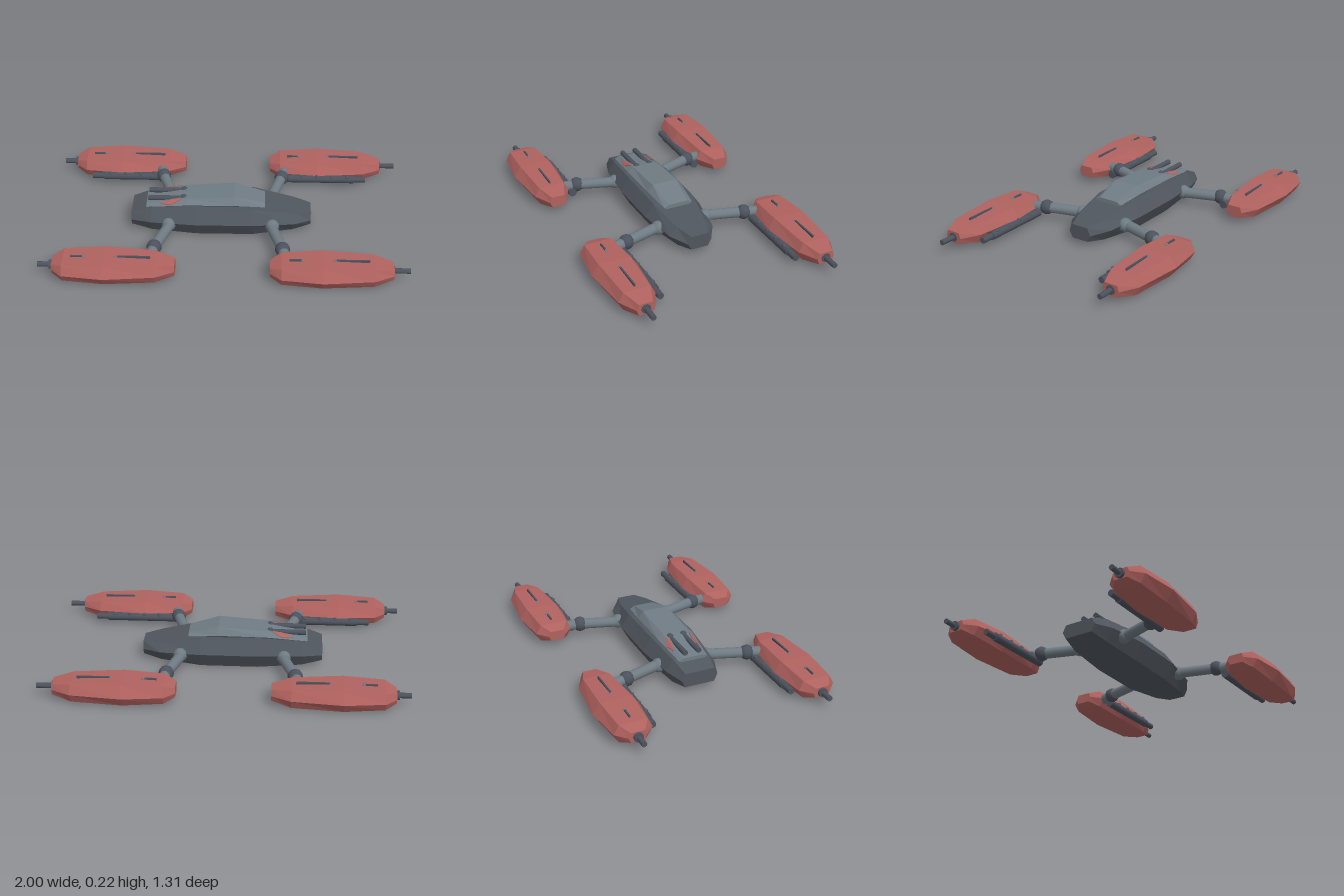
import * as THREE from 'three';

const mat = (name, color) => {
  const m = new THREE.MeshStandardMaterial({ color });
  m.name = name;
  return m;
};

// Six-sided hull lofted along x; station = [x, flatHalfWidth, fullHalfWidth, yBottom, yMid, yTop]
function loft(stations) {
  const rings = stations.map(([x, f, w, y0, y1, y2]) =>
    [[y2, f], [y1, w], [y0, f], [y0, -f], [y1, -w], [y2, -f]].map(([y, z]) => [x, y, z]));
  const pos = [];
  const tri = (a, b, c) => pos.push(...a, ...b, ...c);
  for (let s = 0; s < rings.length - 1; s++) {
    const p = rings[s], q = rings[s + 1];
    for (let i = 0; i < 6; i++) {
      const j = (i + 1) % 6;
      tri(p[i], p[j], q[j]);
      tri(p[i], q[j], q[i]);
    }
  }
  const first = rings[0], last = rings[rings.length - 1];
  for (let i = 1; i < 5; i++) {
    tri(first[0], first[i + 1], first[i]);
    tri(last[0], last[i], last[i + 1]);
  }
  const g = new THREE.BufferGeometry();
  g.setAttribute('position', new THREE.Float32BufferAttribute(pos, 3));
  g.computeVertexNormals();
  return g;
}

export function createModel() {
  const root = new THREE.Group();
  root.name = 'fourPodCraft';
  const red = mat('dull red', 0xb0625f);
  const dark = mat('dark slate', 0x50565e);
  const light = mat('light slate', 0x6f7b83);
  const metal = mat('gun metal', 0x4c525d);

  const add = (parent, name, geo, material, x = 0, y = 0, z = 0) => {
    const m = new THREE.Mesh(geo, material);
    m.name = name;
    m.position.set(x, y, z);
    parent.add(m);
    return m;
  };
  // Cylinder between two points
  const rod = (parent, name, a, b, r, material, sides = 10) => {
    const A = new THREE.Vector3(...a), B = new THREE.Vector3(...b);
    const d = B.clone().sub(A);
    const m = add(parent, name, new THREE.CylinderGeometry(r, r, d.length(), sides), material);
    m.position.copy(A).add(B).multiplyScalar(0.5);
    m.quaternion.setFromUnitVectors(new THREE.Vector3(0, 1, 0), d.normalize());
    return m;
  };
  const ball = (parent, name, r, material, x, y, z) =>
    add(parent, name, new THREE.SphereGeometry(r, 10, 8), material, x, y, z);

  // Main hull
  add(root, 'hull', loft([
    [-0.535, 0.085, 0.105, 0.04, 0.08, 0.12],
    [-0.42, 0.105, 0.145, 0.018, 0.09, 0.155],
    [-0.17, 0.122, 0.172, 0.005, 0.095, 0.172],
    [0.15, 0.12, 0.17, 0.005, 0.095, 0.168],
    [0.38, 0.085, 0.132, 0.02, 0.085, 0.13],
    [0.48, 0.05, 0.07, 0.035, 0.072, 0.115],
  ]), dark);

  // Raised cabin on the deck
  add(root, 'cabin', loft([
    [-0.45, 0.06, 0.085, 0.135, 0.155, 0.166],
    [-0.22, 0.072, 0.105, 0.155, 0.182, 0.206],
    [0.05, 0.075, 0.105, 0.155, 0.185, 0.225],
    [0.22, 0.057, 0.085, 0.145, 0.165, 0.18],
  ]), light);

  for (const k of [-1, 1]) {
    // Twin deck cannons
    rod(root, 'deckCannon', [-0.44, 0.189, k * 0.04], [-0.24, 0.189, k * 0.04], 0.015, metal);
    ball(root, 'deckCannonMount', 0.021, metal, -0.24, 0.192, k * 0.04);
    // Red slanted marking beside each cannon
    const s = new THREE.Shape([
      new THREE.Vector2(-0.37, 0.078), new THREE.Vector2(-0.3, 0.062),
      new THREE.Vector2(-0.25, 0.07), new THREE.Vector2(-0.31, 0.092),
    ]);
    const g = new THREE.ExtrudeGeometry(s, { depth: 0.006, bevelEnabled: false });
    g.rotateX(-Math.PI / 2);
    const mark = add(root, 'deckMarking', g, red);
    // Follow the slope of the cabin roof
    const p = g.attributes.position;
    for (let i = 0; i < p.count; i++) {
      const x = p.getX(i), w = -p.getZ(i);
      p.setY(i, p.getY(i) + 0.166 + (x + 0.45) * 0.174 - Math.max(0, w - 0.068) * 0.75);
    }
    if (k > 0) mark.rotation.x = 0;
    // Mirror across the hull by moving points and swapping the winding
    if (k > 0) {
      g.scale(1, 1, -1);
      for (let i = 0; i < p.count; i += 3) {
        const b = new THREE.Vector3().fromBufferAttribute(p, i + 1);
        const c = new THREE.Vector3().fromBufferAttribute(p, i + 2);
        p.setXYZ(i + 1, c.x, c.y, c.z);
        p.setXYZ(i + 2, b.x, b.y, b.z);
      }
    }
    g.computeVertexNormals();
  }

  // Pod shell, shared by all four pods
  const podGeo = loft([
    [-0.28, 0.038, 0.05, 0.045, 0.072, 0.1],
    [-0.22, 0.078, 0.105, 0.024, 0.072, 0.122],
    [0, 0.09, 0.13, 0.013, 0.072, 0.132],
    [0.275, 0.075, 0.102, 0.02, 0.072, 0.122],
    [0.38, 0.038, 0.05, 0.04, 0.072, 0.104],
  ]);

  for (const s of [-1, 1]) for (const k of [-1, 1]) {
    const pod = new THREE.Group();
    pod.name = (k > 0 ? 'front' : 'back') + (s > 0 ? 'Left' : 'Right') + 'Pod';
    root.add(pod);
    const cx = s > 0 ? 0.53 : -0.64, cz = k * 0.525;
    add(pod, 'podShell', podGeo, red, cx, 0, cz);

    // Top fins
    add(pod, 'longFin', new THREE.BoxGeometry(0.18, 0.016, 0.009), metal, cx + 0.16, 0.128, cz);
    add(pod, 'shortFin', new THREE.BoxGeometry(0.07, 0.016, 0.009), metal, cx - 0.143, 0.126, cz);
    for (const fx of [0.068, -0.108]) ball(pod, 'finStud', 0.01, light, cx + fx, 0.127, cz);

    // End gun with collar
    rod(pod, 'endGun', [s * 0.88, 0.072, cz], [s, 0.072, cz], 0.015, metal);
    rod(pod, 'gunCollar', [s * 0.9, 0.072, cz], [s * (s < 0 ? 0.937 : 0.915), 0.072, cz], 0.026, metal);

    // Gun rack on the inner side
    const rz = k * 0.4;
    rod(pod, 'rackBody', [s * 0.35, 0.05, rz], [s * 0.75, 0.05, rz], 0.024, metal);
    rod(pod, 'rackBarrel', [s * 0.74, 0.05, rz], [s * 0.82, 0.05, rz], 0.018, metal);
    for (let i = 0; i < 4; i++)
      ball(pod, 'rackStud', 0.012, dark, s * (0.44 + i * 0.09), 0.068, k * 0.392);

    // Strut, joint and sockets
    const hx = s > 0 ? 0.262 : -0.32, jx = s > 0 ? 0.318 : -0.385;
    const joint = [jx, 0.08, k * 0.362];
    rod(root, 'strut', [hx - s * 0.012, 0.08, k * 0.13], joint, 0.03, light, 12);
    ball(root, 'hullSocket', 0.04, light, hx, 0.08, k * 0.145);
    ball(root, 'strutJoint', 0.042, metal, ...joint);
    rod(root, 'podStub', joint, [jx + s * 0.018, 0.075, k * 0.45], 0.03, light, 12);
  }
  return root;
}
